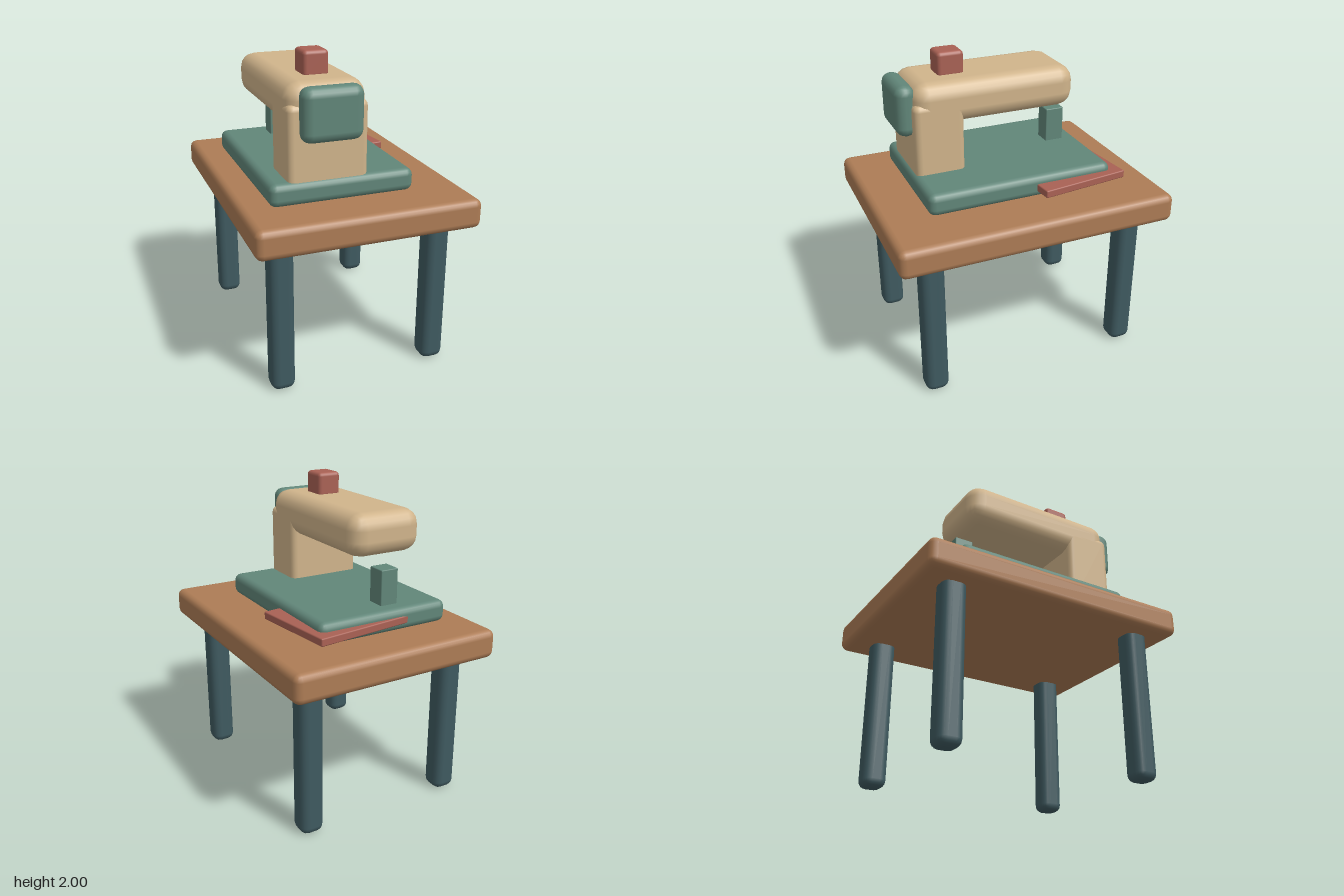
import * as THREE from 'three';
import { RoundedBoxGeometry } from 'three/addons/geometries/RoundedBoxGeometry.js';

const paint = (name, color) => {
  const m = new THREE.MeshStandardMaterial({ color });
  m.name = name;
  return m;
};

export function createModel() {
  const wood = paint('wood', 0xad7c55);
  const slate = paint('dark slate', 0x3f5a60);
  const teal = paint('teal', 0x618679);
  const cream = paint('cream', 0xd0b48b);
  const red = paint('brick red', 0xa96154);

  const model = new THREE.Group();
  model.name = 'sewingTable';

  // Soft-edged block given by its extents on each axis
  function block(name, mat, [x0, x1], [y0, y1], [z0, z1], radius, parent = model) {
    const size = [x1 - x0, y1 - y0, z1 - z0];
    const geo = radius > 0
      ? new RoundedBoxGeometry(...size, 2, radius)
      : new THREE.BoxGeometry(...size);
    const mesh = new THREE.Mesh(geo, mat);
    mesh.name = name;
    mesh.position.set((x0 + x1) / 2, (y0 + y1) / 2, (z0 + z1) / 2);
    parent.add(mesh);
    return mesh;
  }

  // Table
  block('tableTop', wood, [-0.7, 0.7], [0.965, 1.15], [-0.9, 0.9], 0.045);
  for (const sx of [-1, 1]) {
    for (const sz of [-1, 1]) {
      const x = sx * 0.505, z = sz * 0.67;
      const leg = sz > 0 ? 'frontLeg' : 'backLeg';
      block(leg, slate, [x - 0.076, x + 0.076], [0, 1.05], [z - 0.076, z + 0.076], 0.05);
    }
  }

  // Sewing machine
  const machine = new THREE.Group();
  machine.name = 'sewingMachine';
  model.add(machine);
  block('machineBase', teal, [-0.53, 0.38], [1.148, 1.29], [-0.612, 0.612], 0.045, machine);
  block('column', cream, [-0.415, 0.085], [1.2, 1.74], [0.27, 0.59], 0.04, machine);
  block('arm', cream, [-0.415, 0.085], [1.59, 1.86], [-0.493, 0.585], 0.1, machine);
  block('handWheel', teal, [-0.35, 0.028], [1.525, 1.85], [0.55, 0.68], 0.06, machine);
  block('topKnob', red, [-0.245, -0.085], [1.84, 2], [0.205, 0.378], 0.025, machine);
  block('needlePost', teal, [-0.225, -0.105], [1.27, 1.515], [-0.507, -0.382], 0.006, machine);

  // Folded cloth, turned slightly and tucked into the base
  const cloth = block('cloth', red, [-0.342, 0.458], [1.19, 1.24], [-0.645, -0.052], 0.008);
  cloth.rotation.y = 0.12;

  return model;
}
